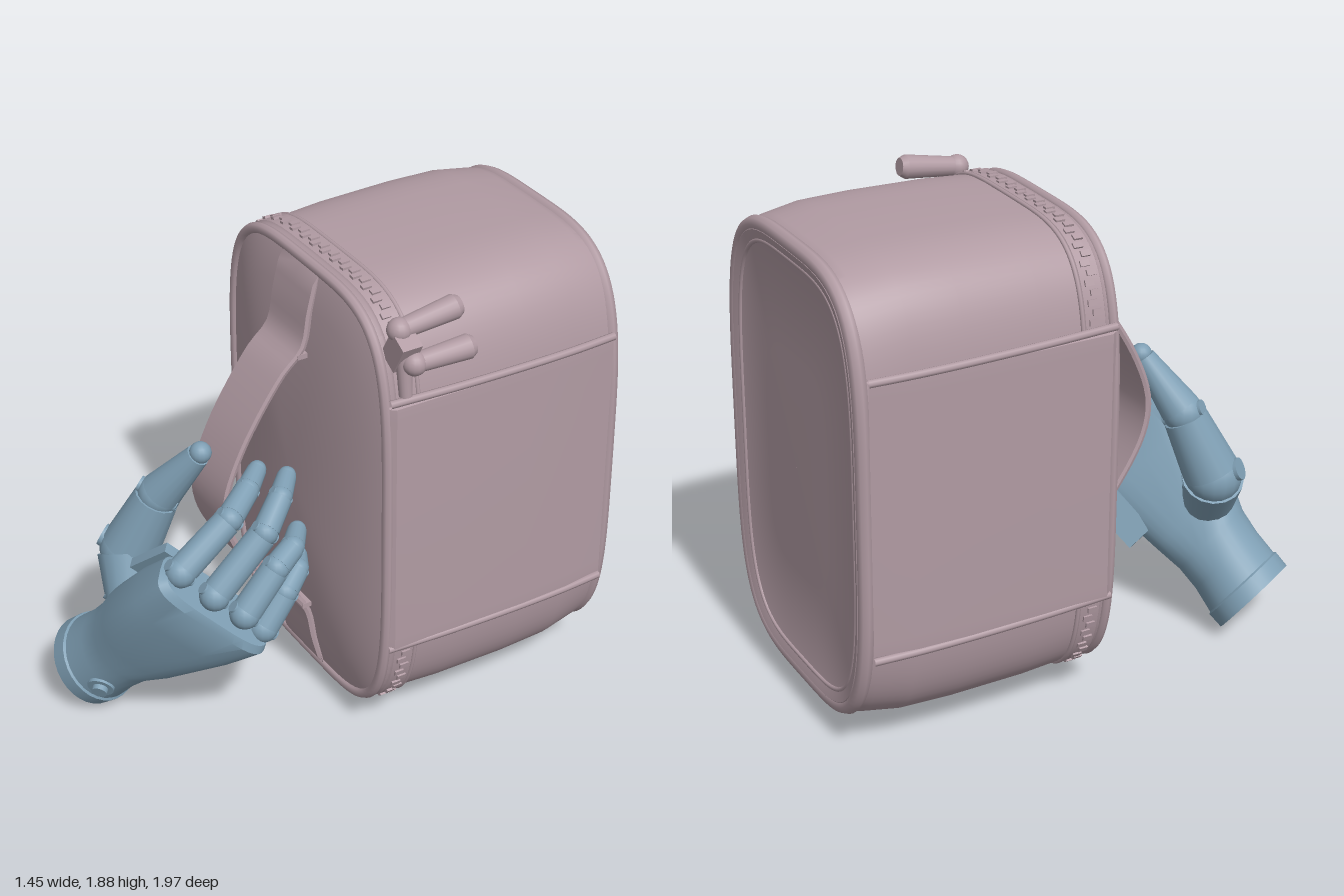
import * as THREE from 'three';
import { toCreasedNormals, mergeGeometries } from 'three/addons/utils/BufferGeometryUtils.js';

const V = (x, y, z) => new THREE.Vector3(x, y, z);
const cloth = new THREE.MeshStandardMaterial({ color: 0xb19ba3 });
const metal = new THREE.MeshStandardMaterial({ color: 0x7f9fb4 });

function add(parent, name, geometry, material) {
  const mesh = new THREE.Mesh(geometry, material);
  mesh.name = name;
  parent.add(mesh);
  return mesh;
}

// Point on a superellipse of half sizes a, b along the axes w, n
function ringPoint(c, w, n, a, b, e, u) {
  const p = (t) => Math.sign(t) * Math.abs(t) ** (2 / e);
  return c.clone().addScaledVector(w, a * p(Math.cos(u))).addScaledVector(n, b * p(Math.sin(u)));
}

// Skin over a row of superellipse sections; each advances along w x n
function loft(sections, segs, crease = 0.6) {
  const pos = [], index = [];
  sections.forEach(({ c, w, n, a, b, e = 2 }, i) => {
    for (let j = 0; j < segs; j++) {
      pos.push(...ringPoint(c, w, n, a, b, e, (j / segs) * Math.PI * 2).toArray());
      if (i === 0) continue;
      const k = (j + 1) % segs, lo = (i - 1) * segs, hi = i * segs;
      index.push(lo + j, lo + k, hi + k, lo + j, hi + k, hi + j);
    }
  });
  const g = new THREE.BufferGeometry();
  g.setAttribute('position', new THREE.Float32BufferAttribute(pos, 3));
  g.setIndex(index);
  return toCreasedNormals(g, crease);
}

// Tapered round bar between two points
function rod(parent, name, p, q, r0, r1, material, segs = 16) {
  const d = q.clone().sub(p);
  const m = add(parent, name, new THREE.CylinderGeometry(r1, r0, d.length(), segs), material);
  m.position.copy(p).addScaledVector(d, 0.5);
  m.quaternion.setFromUnitVectors(V(0, 1, 0), d.normalize());
}

function ball(parent, name, p, r, material) {
  add(parent, name, new THREE.SphereGeometry(r, 16, 12), material).position.copy(p);
}

const X = V(1, 0, 0), Y = V(0, 1, 0), MID = 0.975;

function createBag() {
  const bag = new THREE.Group();
  bag.name = 'bag';
  bag.position.set(0.05, 0, -0.357);
  bag.rotation.set(0, -0.25, 0.008);
  const sec = (z, a, b, e = 4.3) => ({ c: V(0, MID, z), w: X, n: Y, a, b, e });

  // Body: shallow back panel, soft sides, raised zip band, domed front
  add(bag, 'body', loft([
    sec(-0.497, 0.001, 0.001, 4), sec(-0.497, 0.25, 0.43, 4), sec(-0.493, 0.47, 0.79, 4), sec(-0.5, 0.485, 0.805, 4),
    sec(-0.51, 0.52, 0.84, 4), sec(-0.485, 0.555, 0.872, 4), sec(-0.44, 0.562, 0.884, 4), sec(-0.3, 0.572, 0.9),
    sec(-0.1, 0.578, 0.904), sec(0.2, 0.574, 0.9), sec(0.37, 0.564, 0.891), sec(0.375, 0.57, 0.899),
    sec(0.455, 0.568, 0.894), sec(0.46, 0.562, 0.888), sec(0.49, 0.556, 0.88), sec(0.505, 0.52, 0.845),
    sec(0.53, 0.44, 0.73), sec(0.555, 0.32, 0.54), sec(0.572, 0.16, 0.28), sec(0.577, 0.001, 0.001),
  ], 80, 0.7), cloth);

  // Piping around the front and back edges
  const loop = (z, a, b, e) => new THREE.CatmullRomCurve3(Array.from({ length: 64 }, (_, i) =>
    ringPoint(V(0, MID, z), X, Y, a, b, e, (i / 64) * Math.PI * 2)), true);
  for (const [name, z, a, b, r, e] of [
    ['backPiping', -0.485, 0.539, 0.856, 0.03, 4], ['backPanelSeam', -0.495, 0.482, 0.802, 0.009, 4],
    ['frontPiping', 0.492, 0.554, 0.876, 0.021, 4.3], ['zipEdge', 0.365, 0.566, 0.893, 0.009, 4.3],
  ]) add(bag, name, new THREE.TubeGeometry(loop(z, a, b, e), 160, r, 8, true), cloth);

  // Zip teeth, hidden where the pockets cover the zip
  const zip = loop(0.415, 0.569, 0.897, 4.3), teeth = [];
  for (let i = 0; i < 150; i++) {
    const p = zip.getPointAt(i / 150), t = zip.getTangentAt(i / 150);
    if (p.y > 0.46 && p.y < 1.53) continue;
    teeth.push(new THREE.BoxGeometry(0.022, 0.014, 0.036)
      .rotateZ(Math.atan2(t.y, t.x)).translate(p.x, p.y, p.z + (i % 2 ? 0.008 : -0.008)));
  }
  add(bag, 'zipTeeth', mergeGeometries(teeth), cloth);

  // Side pockets: gently curved raised panel with a seam above and below
  const edge = [[-0.47, 0.562], [-0.3, 0.574], [-0.1, 0.579], [0.2, 0.576], [0.49, 0.563]];
  for (const s of [-1, 1]) {
    const side = V(0, 0, s), up = V(0, 1, 0);
    const panel = add(bag, 'sidePocket', loft([
      [-0.47, 0.55], [-0.3, 0.57], [-0.1, 0.574], [0.2, 0.572], [0.47, 0.565], [0.49, 0.55],
    ].map(([z, x]) => ({ c: V(s * x, 0.995, z), w: X, n: Y, a: 0.014, b: 0.53, e: 16 })), 16), cloth);
    panel.userData = {};
    for (const y of [0.46, 1.53]) {
      const path = new THREE.CatmullRomCurve3(edge.map(([z, x]) => V(s * x, y + z * 0.02, z)));
      add(bag, 'pocketSeam', new THREE.TubeGeometry(path, 24, 0.015, 8), cloth);
    }
  }

  // Carry strap: flat on the face at both ends, bowed out between
  const strap = new THREE.CatmullRomCurve3([
    [1.84, 0.505], [1.7, 0.541], [1.56, 0.572], [1.47, 0.66], [1.2, 0.835], [1, 0.905],
    [0.85, 0.885], [0.6, 0.735], [0.45, 0.6], [0.38, 0.565], [0.25, 0.541], [0.11, 0.505],
  ].map(([y, z]) => V(-0.015, y, z)));
  const strapSecs = [];
  for (let i = 0; i <= 48; i++) {
    const n = strap.getTangentAt(i / 48).cross(X).normalize();
    const end = i === 0 || i === 48 ? 0.1 : 1;
    strapSecs.push({ c: strap.getPointAt(i / 48), w: X, n, a: 0.125, b: 0.013 * end, e: 20 });
  }
  add(bag, 'carryStrap', loft(strapSecs, 8), cloth);
  for (const y of [0.42, 1.53]) {
    add(bag, 'strapStitching', new THREE.BoxGeometry(0.25, 0.02, 0.04), cloth).position.set(-0.015, y, 0.575);
  }
  return bag;
}

function createZipPulls() {
  const pulls = new THREE.Group();
  pulls.name = 'zipPulls';
  const slider = add(pulls, 'slider', new THREE.BoxGeometry(0.09, 0.13, 0.08), cloth);
  slider.position.set(0.455, 1.74, 0.19);
  slider.rotation.set(0, -0.25, -0.5);
  rod(pulls, 'zipEnd', V(0.485, 1.57, 0.2), V(0.47, 1.74, 0.2), 0.024, 0.03, cloth);
  for (const [p, q] of [
    [V(0.44, 1.81, 0.19), V(0.5, 1.84, -0.02)], [V(0.505, 1.7, 0.18), V(0.57, 1.71, -0.02)],
  ]) {
    ball(pulls, 'pullPivot', p, 0.045, cloth);
    rod(pulls, 'pullTab', p, q, 0.036, 0.046, cloth);
    rod(pulls, 'pullTip', q, q.clone().lerp(p, -0.1), 0.046, 0.034, cloth);
  }
  return pulls;
}

function createHand() {
  const hand = new THREE.Group();
  hand.name = 'mechanicalHand';
  // Palm frame: f to the fingers, w from index to little finger, n out of the palm
  const f = V(0.75, 0.62, -0.23).normalize();
  const w = V(0.44, -0.67, -0.6).addScaledVector(f, -f.dot(V(0.44, -0.67, -0.6))).normalize();
  const n = f.clone().cross(w);
  const basis = new THREE.Matrix4().makeBasis(f, w, n);
  const sec = (x, y, z, a, b = a, e = 2) => ({ c: V(x, y, z), w, n, a, b, e });

  // Hollow wrist socket and palm in one skin
  add(hand, 'palm', loft([
    sec(-0.53, 0.206, 0.785, 0.001), sec(-0.53, 0.206, 0.785, 0.145), sec(-0.61, 0.14, 0.81, 0.15),
    sec(-0.61, 0.14, 0.81, 0.178), sec(-0.56, 0.181, 0.799, 0.18), sec(-0.555, 0.186, 0.798, 0.172),
    sec(-0.48, 0.26, 0.785, 0.165), sec(-0.41, 0.33, 0.77, 0.17, 0.162, 2.2),
    sec(-0.32, 0.41, 0.765, 0.2, 0.155, 2.8), sec(-0.1, 0.59, 0.735, 0.25, 0.125, 3.6),
    sec(0.02, 0.685, 0.708, 0.268, 0.1, 4), sec(0.04, 0.7, 0.7, 0.25, 0.08, 3.5), sec(0.04, 0.7, 0.7, 0.001),
  ], 32), metal);

  // Plates on the palm side
  for (const [name, p, size] of [
    ['indexPlate', V(-0.22, 0.79, 0.76), [0.2, 0.1, 0.04]],
    ['palmPad', V(-0.12, 0.43, 0.53), [0.28, 0.12, 0.05]],
  ]) {
    const plate = add(hand, name, new THREE.BoxGeometry(...size), metal);
    plate.position.copy(p);
    plate.quaternion.setFromRotationMatrix(basis);
  }

  // Wrist bolt
  const bolt = V(-0.42, 0.18, 0.91), out = V(0.08, -0.06, 0.13).normalize();
  const along = (d) => bolt.clone().addScaledVector(out, d);
  rod(hand, 'wristBoltRim', along(-0.08), along(0.015), 0.058, 0.052, metal, 24);
  rod(hand, 'wristBoltHead', along(0), along(0.035), 0.032, 0.03, metal, 24);

  // Chain of tapered links with a hinge pin at each joint
  const digit = (name, pts, radii, pin) => {
    const g = new THREE.Group();
    g.name = name;
    hand.add(g);
    pts.forEach((p, i) => {
      ball(g, 'joint', p, radii[i], metal);
      if (i === pts.length - 1) return;
      const q = pts[i + 1], r = radii[i], h = r * 1.04;
      rod(g, 'link', p.clone().lerp(q, 0.08), q.clone().lerp(p, 0.06), r, radii[i + 1] * 1.08, metal);
      rod(g, 'hingePin', p.clone().addScaledVector(pin, -h), p.clone().addScaledVector(pin, h), r * 0.4, r * 0.4, metal);
    });
  };
  const fingers = {
    indexFinger: [V(-0.04, 0.86, 0.81), V(0, 1.01, 0.6), V(-0.05, 1.05, 0.46), V(-0.095, 1.07, 0.37)],
    middleFinger: [V(0.05, 0.76, 0.73), V(0.1, 0.96, 0.52), V(0.06, 1.04, 0.4), V(0, 1.06, 0.31)],
    ringFinger: [V(0.11, 0.66, 0.64), V(0.135, 0.81, 0.5), V(0.12, 0.845, 0.4), V(0.06, 0.85, 0.32)],
    littleFinger: [V(0.12, 0.56, 0.56), V(0.135, 0.68, 0.46), V(0.11, 0.725, 0.37), V(0.05, 0.73, 0.31)],
  };
  for (const [name, pts] of Object.entries(fingers)) digit(name, pts, [0.058, 0.05, 0.043, 0.034], w);
  digit('thumb', [V(-0.4, 0.5, 0.75), V(-0.485, 0.67, 0.68), V(-0.39, 0.93, 0.6), V(-0.235, 1.15, 0.52)],
    [0.1, 0.112, 0.08, 0.042], V(0.8, -0.4, -0.4).normalize());
  return hand;
}

export function createModel() {
  const model = new THREE.Group();
  model.name = 'handHoldingBag';
  model.add(createBag(), createZipPulls(), createHand());
  return model;
}
